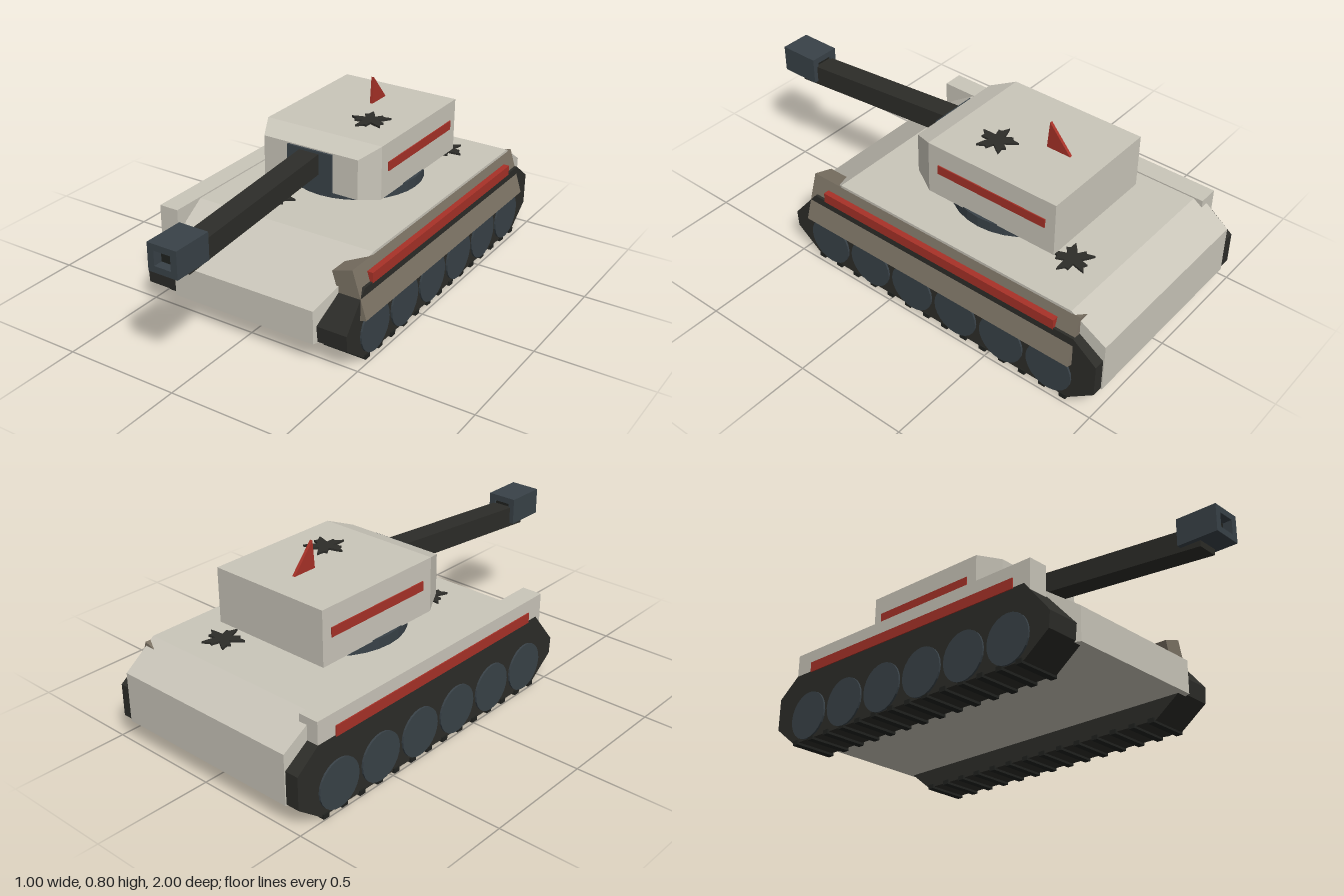
import * as THREE from 'three';

const material = (color) => new THREE.MeshStandardMaterial({ color, flatShading: true });
const cream = material(0xcac6ba);
const brown = material(0x7b7264);
const dark = material(0x2d2d29);
const slate = material(0x394248);
const red = material(0xa83228);
const black = material(0x20221f);

function add(parent, name, geometry, mat, x = 0, y = 0, z = 0) {
  const mesh = new THREE.Mesh(geometry, mat);
  mesh.name = name;
  mesh.position.set(x, y, z);
  parent.add(mesh);
  return mesh;
}

// Box given by its limits on each axis
function addBox(parent, name, mat, x0, x1, y0, y1, z0, z1) {
  return add(parent, name, new THREE.BoxGeometry(x1 - x0, y1 - y0, z1 - z0), mat,
    (x0 + x1) / 2, (y0 + y1) / 2, (z0 + z1) / 2);
}

// Joins rectangular sections [z, half width, bottom, top], listed front to back
function loft(sections) {
  const rings = sections.map(([z, w, y0, y1]) => [[-w, y0, z], [w, y0, z], [w, y1, z], [-w, y1, z]]);
  const points = [];
  const quad = (a, b, c, d) => points.push(...a, ...b, ...c, ...a, ...c, ...d);
  for (let i = 0; i < rings.length - 1; i++) {
    for (let k = 0; k < 4; k++) {
      const n = (k + 1) % 4;
      quad(rings[i][k], rings[i + 1][k], rings[i + 1][n], rings[i][n]);
    }
  }
  quad(...rings[0]);
  quad(...rings[rings.length - 1].slice().reverse());
  const geometry = new THREE.BufferGeometry();
  geometry.setAttribute('position', new THREE.Float32BufferAttribute(points, 3));
  geometry.computeVertexNormals();
  return geometry;
}

// Extrudes a (z, y) outline across x, centred on x = 0
function sideExtrude(outline, width) {
  const shape = new THREE.Shape(outline.map(([z, y]) => new THREE.Vector2(z, y)));
  const geometry = new THREE.ExtrudeGeometry(shape, { depth: width, bevelEnabled: false });
  return geometry.translate(0, 0, -width / 2).rotateY(-Math.PI / 2);
}

// Thin five-lobed leaf lying flat, with notched lobes
function leafGeometry() {
  const shape = new THREE.Shape();
  const profile = [[0, 0.088], [0.22, 0.06], [0.4, 0.066], [0.63, 0.033], [0.9, 0.062]];
  for (let lobe = 0; lobe < 5; lobe++) {
    for (const [t, r] of profile) {
      const angle = (lobe + t) * Math.PI * 2 / 5;
      const x = Math.cos(angle) * r, y = Math.sin(angle) * r;
      if (lobe === 0 && t === 0) shape.moveTo(x, y);
      else shape.lineTo(x, y);
    }
  }
  return new THREE.ExtrudeGeometry(shape, { depth: 0.01, bevelEnabled: false }).rotateX(-Math.PI / 2);
}

function buildRunningGear(side) {
  const gear = new THREE.Group();
  gear.name = side > 0 ? 'leftTrackAssembly' : 'rightTrackAssembly';
  const centre = side > 0 ? 0.387 : -0.4;
  const outline = [[0.42, 0.01], [0.54, 0.1], [0.545, 0.17], [0.42, 0.32],
    [-0.89, 0.32], [-0.995, 0.24], [-0.995, 0.1], [-0.88, 0.01]];
  add(gear, 'track', sideExtrude(outline, 0.18), dark, centre);
  // Road wheels
  for (let i = 0; i < 6; i++) {
    const wheel = new THREE.CylinderGeometry(0.104, 0.104, 0.03, 24).rotateZ(Math.PI / 2);
    add(gear, 'roadWheel', wheel, slate, centre + side * 0.083, 0.115, 0.345 - i * 0.227);
  }
  // Cleats under the track
  for (let i = 0; i < 14; i++) {
    add(gear, 'trackCleat', new THREE.BoxGeometry(0.195, 0.02, 0.03), black, centre - side * 0.001, 0.01, 0.4 - i * 0.097);
  }
  return gear;
}

function buildTurret() {
  const turret = new THREE.Group();
  turret.name = 'turret';
  turret.position.x = -0.006;
  add(turret, 'turretRing', new THREE.CylinderGeometry(0.293, 0.293, 0.06, 32), slate, 0, 0.425, -0.29);
  add(turret, 'turretBody', loft([[0.07, 0.228, 0.475, 0.65], [-0.03, 0.279, 0.45, 0.685], [-0.645, 0.279, 0.45, 0.685]]), cream);
  for (const side of [1, -1]) {
    add(turret, 'turretStripe', new THREE.BoxGeometry(0.012, 0.04, 0.52), red, side * 0.278, 0.58, -0.34);
  }
  // Mantlet and gun
  addBox(turret, 'mantlet', slate, -0.108, 0.108, 0.465, 0.645, 0.04, 0.08);
  const barrel = add(turret, 'barrel', new THREE.BoxGeometry(0.094, 0.09, 0.88), dark, 0, 0.556, 0.475);
  barrel.rotation.x = Math.atan2(0.072, 0.83);
  // Square muzzle with a recessed bore
  const muzzle = new THREE.Shape([[-0.067, -0.058], [0.067, -0.058], [0.067, 0.058], [-0.067, 0.058]]
    .map(([x, y]) => new THREE.Vector2(x, y)));
  muzzle.holes.push(new THREE.Path([[-0.038, -0.031], [-0.038, 0.031], [0.038, 0.031], [0.038, -0.031]]
    .map(([x, y]) => new THREE.Vector2(x, y))));
  add(turret, 'muzzle', new THREE.ExtrudeGeometry(muzzle, { depth: 0.18, bevelEnabled: false }), slate, 0, 0.556, 0.82);
  add(turret, 'muzzleBore', new THREE.BoxGeometry(0.08, 0.066, 0.13), black, 0, 0.556, 0.895);
  // Roof fin
  add(turret, 'roofFin', sideExtrude([[-0.4, 0.68], [-0.41, 0.803], [-0.515, 0.68]], 0.013), red);
  return turret;
}

export function createModel() {
  const tank = new THREE.Group();
  tank.name = 'tank';

  add(tank, 'hull', loft([
    [0.56, 0.335, 0.095, 0.24],
    [0.3, 0.44, 0.095, 0.41],
    [-0.85, 0.44, 0.095, 0.41],
    [-1, 0.43, 0.095, 0.31],
  ]), cream);

  tank.add(buildRunningGear(1), buildRunningGear(-1), buildTurret());

  // Upright fender on one side, a tilted one hanging over the wheels on the other
  addBox(tank, 'rightFender', cream, -0.489, -0.4, 0.285, 0.416, -0.89, 0.45);
  const tilted = add(tank, 'leftFender', new THREE.BoxGeometry(0.095, 0.21, 1.34), brown, 0.427, 0.285, -0.22);
  tilted.rotation.z = 0.315;

  addBox(tank, 'leftHullStripe', red, 0.44, 0.479, 0.315, 0.36, -0.8, 0.365);
  addBox(tank, 'rightHullStripe', red, -0.494, -0.45, 0.315, 0.36, -0.8, 0.365);

  // Leaves resting on the deck and roof
  const leaf = leafGeometry();
  for (const [x, y, z, turn] of [[-0.14, 0.409, 0.13, 0.3], [0.21, 0.409, -0.69, 1.1], [0.095, 0.684, -0.23, 0.7]]) {
    add(tank, 'leaf', leaf, dark, x, y, z).rotation.y = turn;
  }
  return tank;
}
